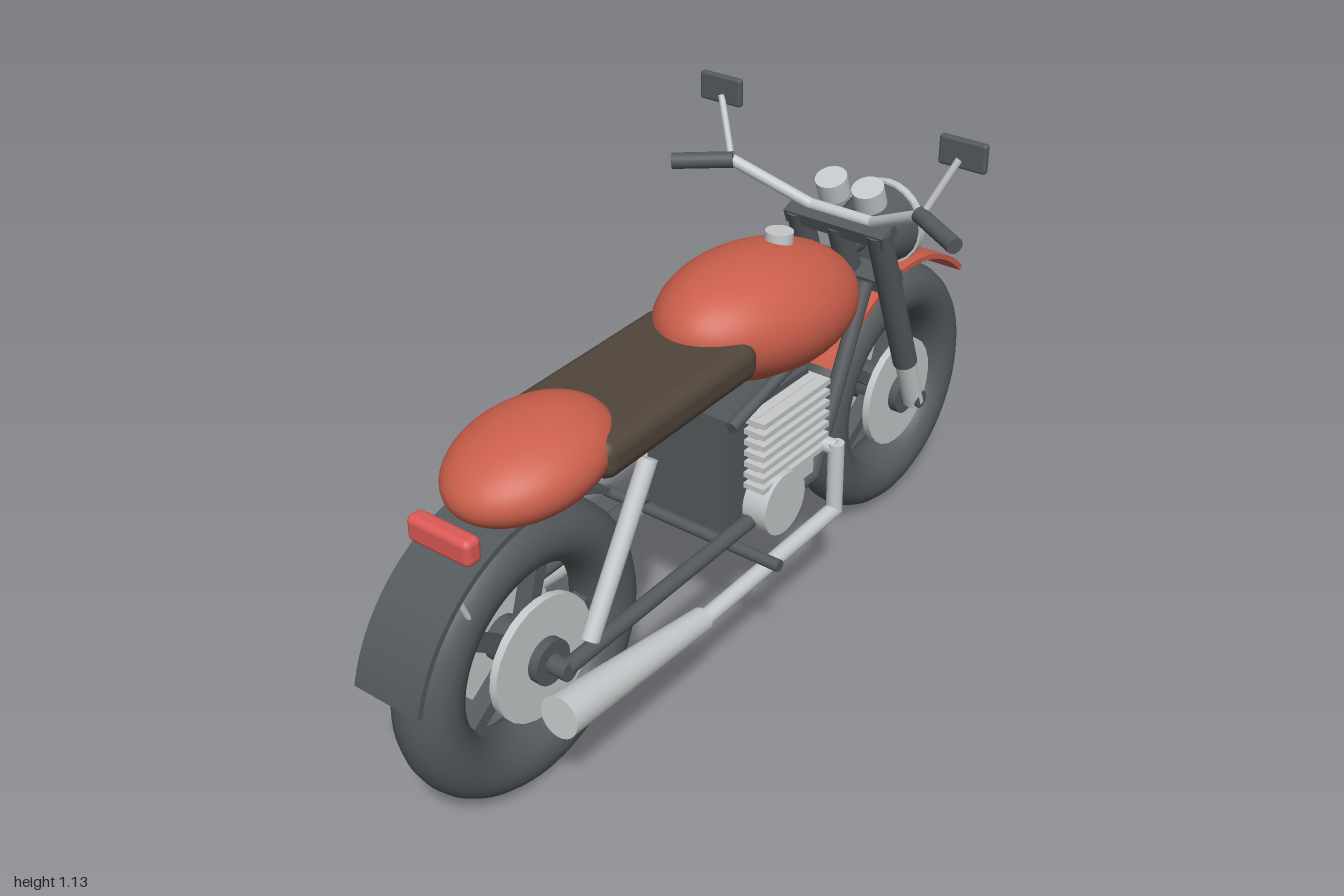
import * as THREE from 'three';
import { toCreasedNormals } from 'three/addons/utils/BufferGeometryUtils.js';
import { RoundedBoxGeometry } from 'three/addons/geometries/RoundedBoxGeometry.js';

const mat = (name, color) => {
  const m = new THREE.MeshStandardMaterial({ color });
  m.name = name;
  return m;
};

export function createModel() {
  const root = new THREE.Group();
  root.name = 'motorcycle';
  const dark = mat('dark grey', 0x54595c);
  const chrome = mat('light metal', 0xc6c9cb);
  const paint = mat('orange paint', 0xcb5f4b);
  const leather = mat('brown leather', 0x50453a);
  const glass = mat('cream glass', 0xd9d0b8);
  const red = mat('red lens', 0xdc5a55);

  const add = (name, geo, material, pos = [0, 0, 0], parent = root) => {
    const m = new THREE.Mesh(geo, material);
    m.name = name;
    m.position.set(...pos);
    parent.add(m);
    return m;
  };
  // Straight rod from a to b, radius ra tapering to rb
  const rod = (name, a, b, ra, material, rb = ra, parent = root) => {
    const A = new THREE.Vector3(...a), B = new THREE.Vector3(...b);
    const d = B.clone().sub(A);
    const m = add(name, new THREE.CylinderGeometry(rb, ra, d.length(), 24), material,
      A.clone().add(B).multiplyScalar(0.5).toArray(), parent);
    m.quaternion.setFromUnitVectors(new THREE.Vector3(0, 1, 0), d.normalize());
    return m;
  };
  const box = (name, size, material, pos, parent) =>
    add(name, new THREE.BoxGeometry(...size), material, pos, parent);
  const ellipsoid = (name, radii, pos, tilt) => {
    const m = add(name, new THREE.SphereGeometry(1, 48, 32).scale(...radii), paint, pos);
    m.rotation.x = tilt;
    return m;
  };

  // Wheels with five spokes and a disc on each side
  const wheel = (name, z) => {
    const g = new THREE.Group();
    g.name = name;
    g.position.set(0, 0.325, z);
    const tyre = new THREE.TorusGeometry(0.255, 0.068, 20, 72).rotateY(Math.PI / 2).scale(1.08, 1, 1);
    add('tyre', tyre, dark, [0, 0, 0], g);
    for (let i = 0; i < 5; i++) {
      const spoke = new THREE.BoxGeometry(0.04, 0.03, 0.18).translate(0, 0, -0.11);
      add('spoke', spoke.rotateX(i * Math.PI * 2 / 5), dark, [0, 0, 0], g);
    }
    for (const s of [-1, 1]) rod('brakeDisc', [s * 0.05, 0, 0], [s * 0.068, 0, 0], 0.14, chrome, 0.14, g);
    rod('hub', [-0.09, 0, 0], [0.09, 0, 0], 0.05, dark, 0.05, g);
    rod('axle', [-0.135, 0, 0], [0.135, 0, 0], 0.022, dark, 0.022, g);
    root.add(g);
  };
  wheel('frontWheel', -0.674);
  wheel('rearWheel', 0.645);

  // Fenders: thin arcs around the wheels, angles measured up from the front
  const fender = (name, z, r, from, to, width, material) => {
    const a = THREE.MathUtils.degToRad(from), b = THREE.MathUtils.degToRad(to);
    const s = new THREE.Shape();
    s.absarc(0, 0, r, a, b, false);
    s.absarc(0, 0, r - 0.013, b, a, true);
    const geo = new THREE.ExtrudeGeometry(s, { depth: width, bevelEnabled: false, curveSegments: 32 });
    geo.translate(0, 0, -width / 2).rotateY(Math.PI / 2);
    add(name, toCreasedNormals(geo, 0.5), material, [0, 0.325, z]);
  };
  fender('frontFender', -0.674, 0.36, 45, 147, 0.16, paint);
  fender('rearFender', 0.645, 0.366, 57, 165.5, 0.166, dark);

  // Bodywork
  ellipsoid('tank', [0.183, 0.143, 0.298], [0, 0.758, -0.158], -0.13);
  ellipsoid('tailCowl', [0.147, 0.09, 0.196], [0, 0.743, 0.583], 0.12);
  rod('fuelCap', [0, 0.88, -0.232], [0, 0.913, -0.234], 0.032, chrome);
  const seat = add('seat', new RoundedBoxGeometry(0.29, 0.09, 0.5, 5, 0.035), leather, [0, 0.748, 0.275]);
  seat.rotation.x = 0.035;
  add('tailLight', new RoundedBoxGeometry(0.16, 0.058, 0.042, 4, 0.014), red, [0, 0.686, 0.818]);

  // Engine: block with cooling fins
  box('engineBlock', [0.22, 0.29, 0.3], dark, [0, 0.48, -0.05]);
  for (let i = 0; i < 7; i++) box('coolingFin', [0.326, 0.013, 0.25], chrome, [0, 0.437 + i * 0.0275, -0.085]);
  box('cylinderBarrel', [0.27, 0.25, 0.22], chrome, [0, 0.485, -0.085]);

  // Headlight: shell, rim and domed glass
  rod('headlightShell', [0, 0.775, -0.55], [0, 0.775, -0.67], 0.075, dark, 0.1);
  rod('headlightRim', [0, 0.775, -0.665], [0, 0.775, -0.685], 0.105, chrome);
  const lens = new THREE.SphereGeometry(1, 36, 12, 0, Math.PI * 2, 0, Math.PI / 2).scale(0.092, 0.03, 0.092);
  add('headlightGlass', lens.rotateX(-Math.PI / 2), glass, [0, 0.775, -0.684]);

  // Steering head
  const clamp = box('upperClamp', [0.27, 0.035, 0.06], dark, [0, 0.845, -0.475]);
  clamp.rotation.x = 0.36;
  const lower = box('lowerClamp', [0.25, 0.035, 0.06], dark, [0, 0.705, -0.53]);
  lower.rotation.x = 0.36;
  rod('steeringStem', [0, 0.845, -0.47], [0, 0.69, -0.53], 0.03, dark);
  rod('headlightBracket', [0, 0.775, -0.5], [0, 0.775, -0.56], 0.03, dark);
  rod('handlebarCentre', [-0.09, 0.865, -0.48], [0.09, 0.865, -0.48], 0.014, chrome);
  rod('footPegs', [-0.245, 0.307, 0.09], [0.245, 0.307, 0.09], 0.014, dark);

  // Mirrored parts
  for (const s of [-1, 1]) {
    // Fork
    rod('forkUpper', [s * 0.11, 0.855, -0.465], [s * 0.11, 0.45, -0.622], 0.03, dark);
    rod('forkLower', [s * 0.11, 0.47, -0.614], [s * 0.11, 0.315, -0.676], 0.026, chrome);
    // Handlebar, grip and mirror
    rod('handlebar', [s * 0.08, 0.862, -0.482], [s * 0.255, 0.958, -0.402], 0.014, chrome);
    rod('grip', [s * 0.25, 0.96, -0.4], [s * 0.378, 0.946, -0.335], 0.019, dark);
    rod('mirrorStem', [s * 0.257, 0.96, -0.402], [s * 0.315, 1.09, -0.44], 0.008, chrome);
    add('mirror', new RoundedBoxGeometry(0.115, 0.067, 0.018, 3, 0.007), dark, [s * 0.32, 1.102, -0.448]);
    rod('gauge', [s * 0.05, 0.885, -0.525], [s * 0.05, 0.932, -0.507], 0.038, chrome);
    // Frame
    rod('downTube', [s * 0.118, 0.755, -0.408], [s * 0.118, 0.335, -0.215], 0.019, dark);
    rod('upperRail', [s * 0.12, 0.615, 0.1], [s * 0.12, 0.675, -0.12], 0.014, dark);
    rod('lowerRail', [s * 0.118, 0.345, 0.05], [s * 0.118, 0.335, -0.215], 0.018, dark);
    rod('swingArm', [s * 0.125, 0.33, 0.645], [s * 0.125, 0.348, 0.02], 0.018, dark);
    rod('shock', [s * 0.13, 0.69, 0.385], [s * 0.13, 0.36, 0.578], 0.02, chrome);
    rod('fenderStay', [s * 0.06, 0.6, 0.855], [s * 0.06, 0.515, 0.822], 0.006, chrome);
    rod('engineCover', [s * 0.1, 0.375, -0.032], [s * 0.172, 0.375, -0.032], 0.076, chrome);
    // Exhaust
    rod('headerStub', [s * 0.11, 0.44, -0.205], [s * 0.185, 0.435, -0.21], 0.019, chrome);
    rod('headerPipe', [s * 0.185, 0.45, -0.21], [s * 0.185, 0.265, -0.212], 0.019, chrome);
    add('pipeElbow', new THREE.SphereGeometry(0.0195, 20, 14), chrome, [s * 0.185, 0.268, -0.212]);
    rod('exhaustPipe', [s * 0.185, 0.268, -0.212], [s * 0.185, 0.252, 0.3], 0.019, chrome);
    rod('muffler', [s * 0.183, 0.254, 0.285], [s * 0.19, 0.304, 0.742], 0.028, chrome, 0.046);
  }
  return root;
}
